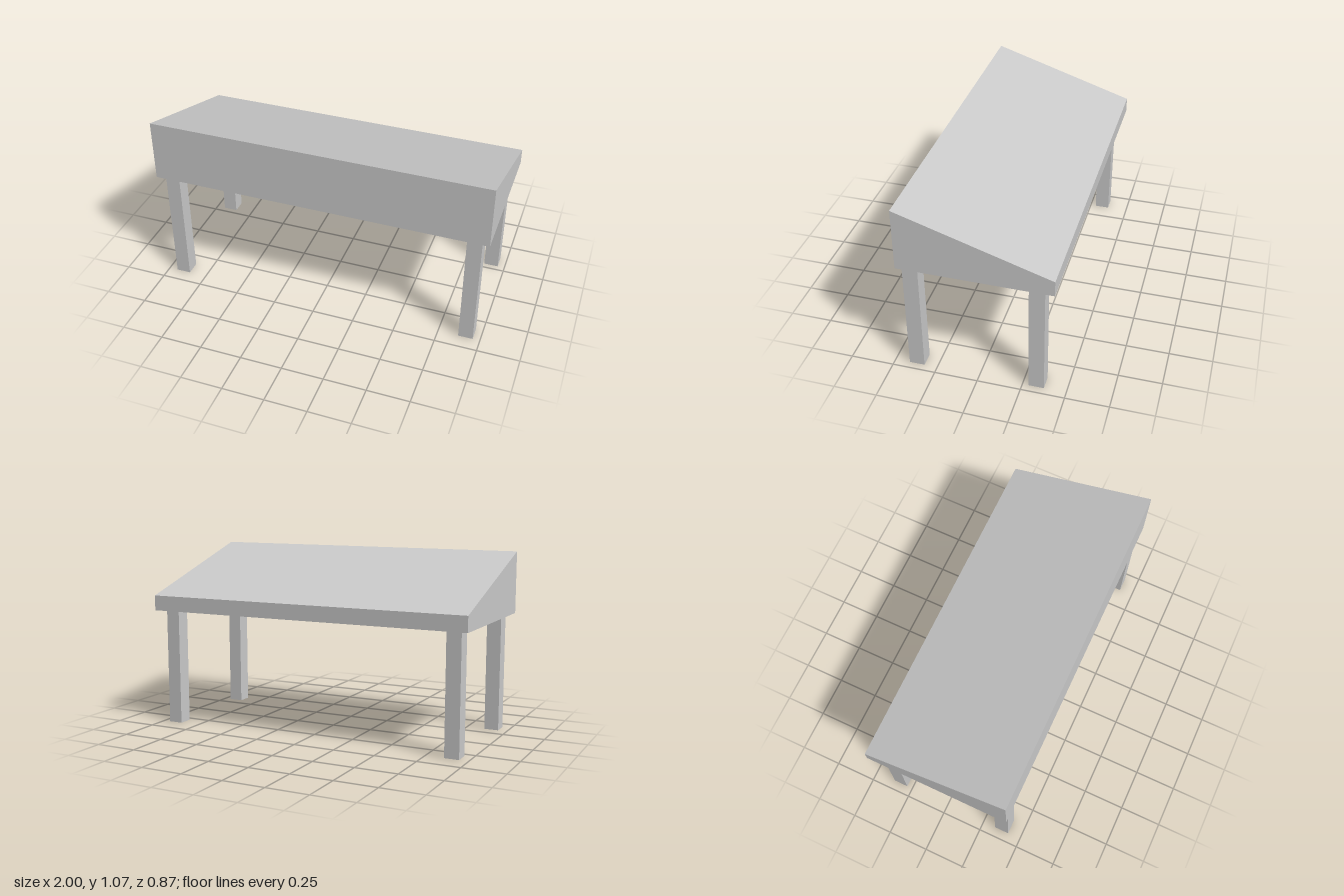
import * as THREE from 'three';

export function createModel() {
  const model = new THREE.Group();
  const material = new THREE.MeshStandardMaterial({ color: 0xcccccc, flatShading: true });
  const legHeight = 0.706;

  // Slanted desk body: side profile (z, y) extruded along x
  const profile = new THREE.Shape([
    new THREE.Vector2(-0.434, legHeight),
    new THREE.Vector2(0.434, legHeight),
    new THREE.Vector2(0.434, 1.074),
    new THREE.Vector2(-0.434, 0.797),
  ]);
  const bodyGeometry = new THREE.ExtrudeGeometry(profile, { depth: 2, bevelEnabled: false });
  bodyGeometry.translate(0, 0, -1).rotateY(-Math.PI / 2);
  // The turn sends the profile's first axis to +z
  const body = new THREE.Mesh(bodyGeometry, material);
  body.name = 'slantedDeskBody';
  model.add(body);

  // Four square legs, slightly unevenly placed
  const legGeometry = new THREE.BoxGeometry(0.086, legHeight, 0.088);
  const legs = [
    ['frontRightLeg', -0.903, 0.375],
    ['frontLeftLeg', 0.914, 0.37],
    ['backRightLeg', -0.903, -0.329],
    ['backLeftLeg', 0.914, -0.329],
  ];
  for (const [name, x, z] of legs) {
    const leg = new THREE.Mesh(legGeometry, material);
    leg.name = name;
    leg.position.set(x, legHeight / 2, z);
    model.add(leg);
  }

  return model;
}
